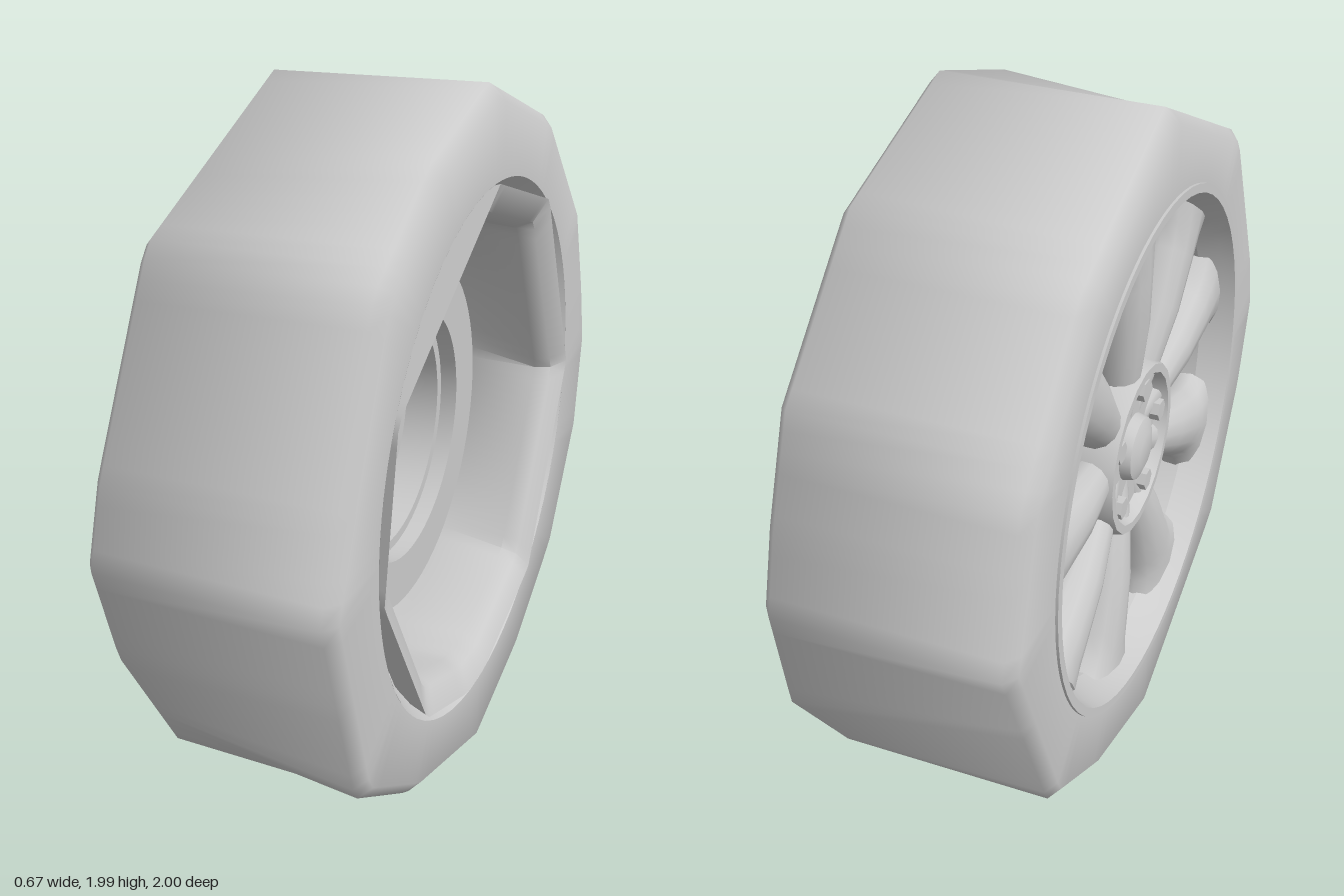
import * as THREE from 'three';
import { toCreasedNormals } from 'three/addons/utils/BufferGeometryUtils.js';

const material = new THREE.MeshStandardMaterial({ color: 0xcccccc, side: THREE.DoubleSide });

function add(parent, name, geometry, crease = 0.65) {
  const mesh = new THREE.Mesh(toCreasedNormals(geometry, crease), material);
  mesh.name = name;
  parent.add(mesh);
  return mesh;
}

// Skin joining closed rings of [x, y, z] points
function loft(rings) {
  const n = rings[0].length, index = [];
  for (let i = 0; i < rings.length - 1; i++) {
    for (let j = 0; j < n; j++) {
      const a = i * n + j, b = i * n + (j + 1) % n;
      index.push(a, b, a + n, b, b + n, a + n);
    }
  }
  const g = new THREE.BufferGeometry();
  g.setAttribute('position', new THREE.Float32BufferAttribute(rings.flat(2), 3));
  g.setIndex(index);
  g.computeVertexNormals();
  return g;
}

// Revolve [x, radius] points about the axle
function revolve(profile, sides = 48) {
  return new THREE.LatheGeometry(profile.map(([x, r]) => new THREE.Vector2(r, x)), sides).rotateZ(-Math.PI / 2);
}

// Distance from the axle to a convex [z, y] outline in direction (c, s)
function reach(outline, c, s) {
  let nearest = Infinity;
  outline.forEach(([z, y], i) => {
    const [z2, y2] = outline[(i + 1) % outline.length];
    const facing = c * (y2 - y) - s * (z2 - z);
    if (facing > 0) nearest = Math.min(nearest, (z * y2 - y * z2) / facing);
  });
  return nearest;
}

// Ring at x following a scaled outline, or a circle when the outline is null
function ring(x, outline, scale) {
  return Array.from({ length: 120 }, (_, i) => {
    const a = i / 120 * Math.PI * 2, c = Math.cos(a), s = Math.sin(a);
    const r = scale * (outline ? reach(outline, c, s) : 1);
    return [x, r * s, r * c];
  });
}

function buildTyre(wheel) {
  // The two shoulders have different facets
  const inner = [
    [1, 0.01], [0.71, 0.67], [0.39, 0.88], [0, 1], [-0.48, 0.83], [-0.83, 0.48], [-0.94, 0.2],
    [-1, 0], [-0.96, -0.31], [-0.73, -0.67], [-0.38, -0.88], [0, -0.99], [0.49, -0.82], [0.83, -0.58],
  ];
  const outer = [
    [0.985, 0], [0.92, 0.2], [0.65, 0.7], [0, 0.99], [-0.54, 0.75], [-0.87, 0.4], [-0.99, 0],
    [-0.73, -0.65], [-0.43, -0.84], [0, -0.98], [0.68, -0.69], [0.91, -0.28],
  ];
  add(wheel, 'tyre', loft([
    ring(0.325, null, 0.75),
    ring(0.325, inner, 0.965),
    ring(0.295, inner, 1),
    ring(-0.3, outer, 1),
    ring(-0.328, outer, 0.965),
    ring(-0.328, null, 0.745),
  ]), 1.2);
  add(wheel, 'innerBead', revolve([[0.22, 0.66], [0.325, 0.75]], 60));
  add(wheel, 'outerBead', revolve([[-0.328, 0.745], [-0.24, 0.7]], 60));
}

function buildRim(wheel) {
  // Faceted lip on the inner side, blending into the round barrel
  const lip = [
    [0.74, -0.08], [0.66, 0.36], [0, 0.75], [-0.45, 0.6], [-0.74, 0],
    [-0.43, -0.6], [-0.02, -0.73], [0.13, -0.72], [0.45, -0.59],
  ];
  add(wheel, 'rimBarrel', loft([
    ring(0.25, lip, 0.96), ring(0.335, lip, 1), ring(0.305, lip, 0.9), ring(0.26, lip, 0.87),
    ring(0.05, null, 0.65), ring(-0.1, null, 0.65), ring(-0.24, null, 0.67),
  ]), 0.8);
  add(wheel, 'outerRimLip', revolve([[-0.24, 0.67], [-0.3, 0.705], [-0.335, 0.72], [-0.335, 0.745], [-0.28, 0.745]], 60));
}

function buildSpokes(wheel) {
  // Radius, half width, front x, depth; flared where they meet the rim
  const stations = [
    [0.1, 0.05, -0.25, 0.1], [0.24, 0.07, -0.275, 0.13], [0.4, 0.09, -0.295, 0.16],
    [0.55, 0.11, -0.3, 0.18], [0.62, 0.13, -0.3, 0.18], [0.68, 0.18, -0.3, 0.18],
  ];
  const rings = stations.map(([r, w, front, depth]) => Array.from({ length: 14 }, (_, i) => {
    const a = i / 14 * Math.PI * 2;
    return [front + depth / 2 + Math.cos(a) * depth / 2, r, -Math.sin(a) * w];
  }));
  const geometry = loft(rings);
  for (let i = 0; i < 9; i++) {
    add(wheel, 'spoke', geometry, 1).rotation.x = (-5 + 40 * i) * Math.PI / 180;
  }
}

function buildHub(wheel) {
  // Raised hub ring around a recess with a round cap
  add(wheel, 'hub', revolve([
    [-0.1, 0], [-0.1, 0.25], [-0.22, 0.26], [-0.285, 0.245], [-0.285, 0.22], [-0.25, 0.2], [-0.25, 0],
  ], 20));
  add(wheel, 'centreCap', revolve([[-0.24, 0.1], [-0.28, 0.09], [-0.295, 0.05], [-0.295, 0]], 20));
  // Five wheel nuts outside and their studs inside
  for (let i = 0; i < 5; i++) {
    const a = (80 + 72 * i) * Math.PI / 180;
    for (const [name, x, r, sides] of [['wheelNut', -0.25, 0.032, 6], ['stud', -0.085, 0.03, 12]]) {
      const nut = add(wheel, name, new THREE.CylinderGeometry(r, r, 0.06, sides).rotateZ(Math.PI / 2));
      nut.position.set(x, Math.sin(a) * 0.175, Math.cos(a) * 0.175);
    }
  }
  // Hollow cone at the end of the axle
  add(wheel, 'axleEnd', revolve([[-0.1, 0.1], [-0.06, 0.1], [-0.095, 0]], 24));
}

function buildBrake(wheel) {
  // Disc with a stepped recess
  add(wheel, 'brakeDisc', revolve([
    [-0.08, 0.34], [0.05, 0.365], [0.05, 0.505], [0.1, 0.505], [0.1, 0.36],
    [0.05, 0.36], [0.05, 0.33], [-0.05, 0.33],
  ], 64));
  // Floor of the recess, with an angular opening over the hub
  const floor = new THREE.Shape().absarc(0, 0, 0.33, 0, Math.PI * 2);
  floor.holes.push(new THREE.Path([
    [-0.05, 0.22], [0.18, 0.15], [0.225, 0.02], [0.19, -0.1], [0.05, -0.22], [-0.21, -0.09],
  ].map(([z, y]) => new THREE.Vector2(z, y))));
  const plate = new THREE.ExtrudeGeometry(floor, { depth: 0.025, bevelEnabled: false, curveSegments: 32 });
  add(wheel, 'brakeBell', plate.rotateY(Math.PI / 2).translate(-0.075, 0, 0));
}

export function createModel() {
  const model = new THREE.Group();
  model.name = 'wheelModel';
  const wheel = new THREE.Group();
  wheel.name = 'wheel';
  wheel.position.y = 1;
  model.add(wheel);
  buildTyre(wheel);
  buildRim(wheel);
  buildSpokes(wheel);
  buildHub(wheel);
  buildBrake(wheel);
  return model;
}
